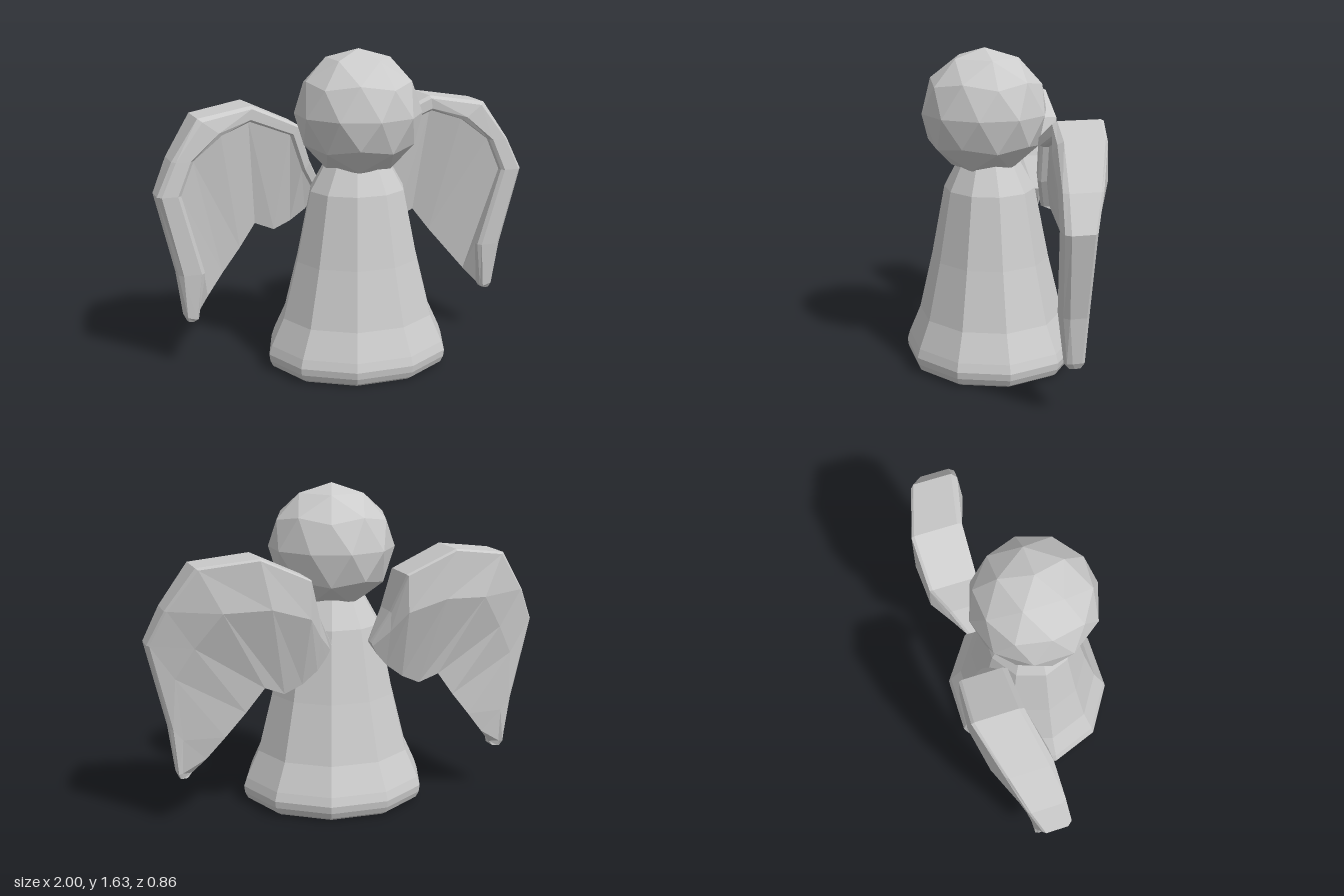
import * as THREE from 'three';

const material = new THREE.MeshStandardMaterial({ color: 0xcccccc, flatShading: true });

// Wing stations from root to tip:
// rim outer x, y | rim inner x, y | front z, back z | trailing edge x, y, z | bulge of the back
const stations = [
  [0.10, 0.87, 0.13, 0.83, -0.22, -0.28, 0.13, 0.81, -0.28, 0],
  [0.18, 1.03, 0.215, 0.98, -0.18, -0.34, 0.18, 0.75, -0.29, 0.02],
  [0.24, 1.22, 0.28, 1.17, -0.17, -0.41, 0.26, 0.69, -0.30, 0.045],
  [0.49, 1.335, 0.50, 1.255, -0.165, -0.42, 0.35, 0.65, -0.30, 0.055],
  [0.78, 1.295, 0.66, 1.205, -0.11, -0.345, 0.45, 0.69, -0.31, 0.055],
  [0.92, 1.09, 0.81, 1.09, -0.095, -0.285, 0.54, 0.57, -0.29, 0.02],
  [1.00, 0.92, 0.88, 0.92, -0.085, -0.235, 0.64, 0.45, -0.27, 0.01],
  [0.90, 0.50, 0.765, 0.50, -0.115, -0.235, 0.73, 0.34, -0.24, 0],
  [0.87, 0.27, 0.80, 0.25, -0.14, -0.225, 0.795, 0.265, -0.20, 0],
  [0.855, 0.24, 0.82, 0.238, -0.155, -0.21, 0.817, 0.24, -0.205, 0],
];

// Closed section through the wing: thin trailing edge, swollen back, thick rim, recessed front
function wingSection([ox, oy, ix, iy, zf, zb, cx, cy, cz, bulge]) {
  const mix = (a, b, t) => a + (b - a) * t;
  const rim = (t, z) => [mix(ox, ix, t), mix(oy, iy, t), z];
  return [
    [cx, cy, cz],
    [mix(ox, cx, 0.35), mix(oy, cy, 0.35), mix(zb, cz, 0.35) - bulge],
    rim(0.1, zb),
    rim(0, zb + 0.015),
    rim(0, zf - 0.025),
    rim(0.17, zf),
    rim(0.85, zf),
    rim(1, zf - 0.015),
    rim(1, zf - 0.045),
  ];
}

// Loft the sections; side = 1 for left, -1 for right
function wingGeometry(side) {
  const sections = stations.map(wingSection);
  const n = sections[0].length;
  const last = (sections.length - 1) * n;
  const positions = sections.flat().flatMap(([x, y, z]) => [x * side, y, z]);
  const index = [];
  const tri = (a, b, c) => (side > 0 ? index.push(a, b, c) : index.push(a, c, b));
  for (let i = 0; i < sections.length - 1; i++) {
    for (let j = 0; j < n; j++) {
      const a = i * n + j;
      const b = i * n + (j + 1) % n;
      tri(a, b, b + n);
      tri(a, b + n, a + n);
    }
  }
  // Root and tip caps
  for (let j = 1; j < n - 1; j++) {
    tri(0, j + 1, j);
    tri(last, last + j, last + j + 1);
  }
  const geometry = new THREE.BufferGeometry();
  geometry.setAttribute('position', new THREE.Float32BufferAttribute(positions, 3));
  geometry.setIndex(index);
  geometry.computeVertexNormals();
  return geometry;
}

// Ten-sided flared gown, flattened more at the front than at the back
function gownGeometry() {
  const profile = [
    [0, 0], [0.435, 0], [0.46, 0.015], [0.475, 0.045], [0.48, 0.08], [0.465, 0.125],
    [0.40, 0.265], [0.325, 0.56], [0.25, 0.92], [0.17, 1.06], [0, 1.07],
  ].map(([r, y]) => new THREE.Vector2(r, y));
  const geometry = new THREE.LatheGeometry(profile, 10, Math.PI / 10);
  const p = geometry.attributes.position;
  for (let i = 0; i < p.count; i++) {
    const z = p.getZ(i);
    p.setZ(i, z * (z > 0 ? 0.88 : 0.96));
  }
  geometry.computeVertexNormals();
  return geometry;
}

export function createModel() {
  const group = new THREE.Group();
  const add = (name, geometry) => {
    const mesh = new THREE.Mesh(geometry, material);
    mesh.name = name;
    group.add(mesh);
    return mesh;
  };

  add('gown', gownGeometry()).position.z = 0.027;

  // Faceted head with one vertex pointing straight up
  const headGeometry = new THREE.IcosahedronGeometry(0.322, 1);
  headGeometry.rotateX(-Math.atan((1 + Math.sqrt(5)) / 2));
  headGeometry.rotateY(Math.PI / 2);
  add('head', headGeometry).position.set(0, 1.308, 0.042);

  // Mirrored wings
  add('leftWing', wingGeometry(1));
  add('rightWing', wingGeometry(-1));

  return group;
}
